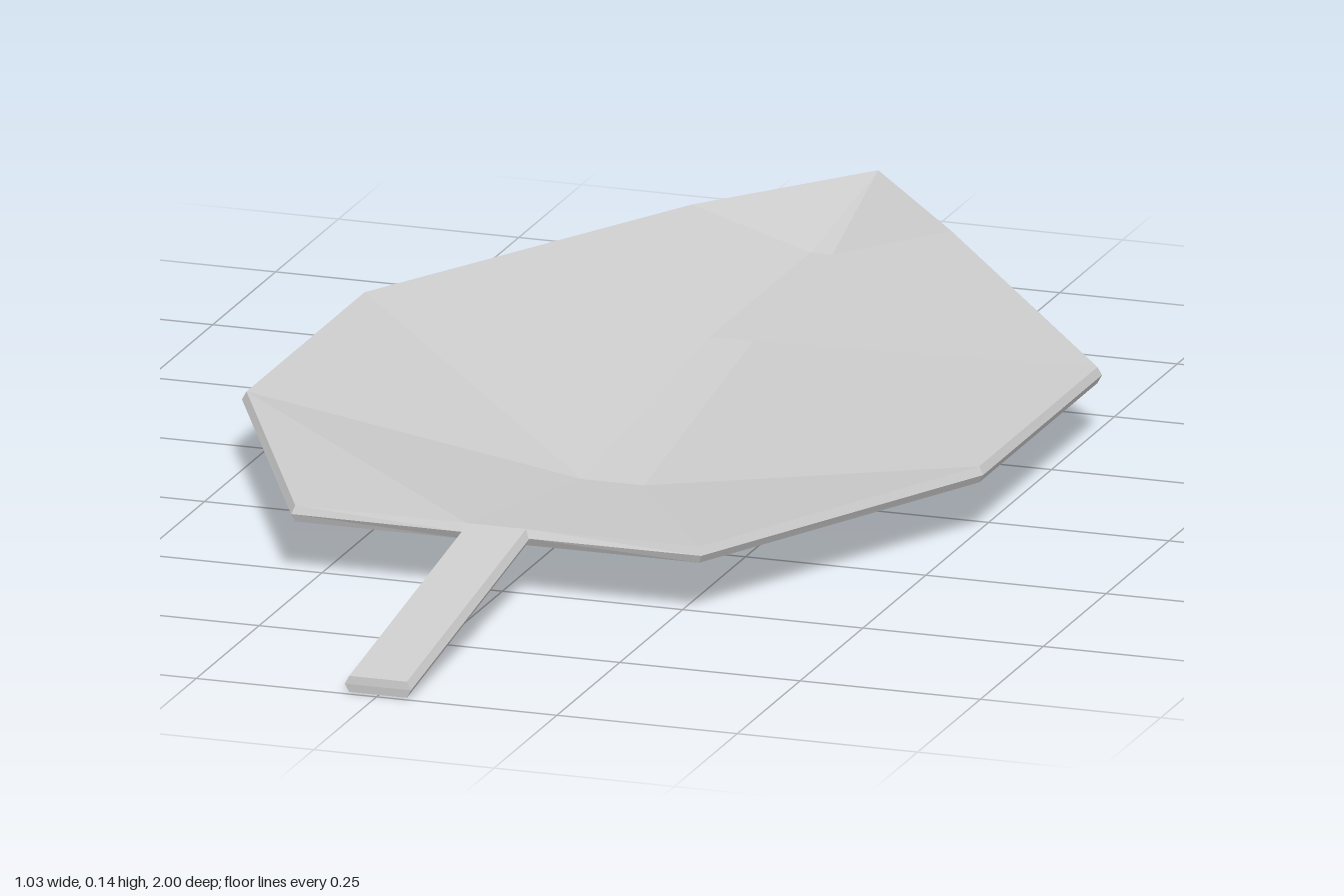
import * as THREE from 'three';

const THICK = 0.022, BEVEL = 0.006;

// Faceted slab from rows of top points (front to back, each from -x to +x),
// with a slightly bulging rim between the top and bottom skins.
function slab(name, rows, material) {
  const pos = [];
  const drop = (p, h) => new THREE.Vector3(p.x, p.y - h, p.z);
  const tri = (a, b, c) => {
    if (a.equals(b) || b.equals(c) || a.equals(c)) return;
    for (const p of [a, b, c]) pos.push(p.x, p.y, p.z);
  };

  // top and bottom skins
  for (let i = 0; i < rows.length - 1; i++) {
    for (let j = 0; j < rows[i].length - 1; j++) {
      const a = rows[i][j], b = rows[i][j + 1], c = rows[i + 1][j + 1], d = rows[i + 1][j];
      for (const [p, q, r] of [[a, b, d], [b, c, d]]) {
        tri(p, q, r);
        tri(drop(r, THICK), drop(q, THICK), drop(p, THICK));
      }
    }
  }

  // outline, counter-clockwise seen from above
  const back = rows[rows.length - 1];
  const loop = [
    ...rows[0],
    ...rows.slice(1, -1).map(r => r[r.length - 1]),
    ...[...back].reverse(),
    ...rows.slice(1, -1).reverse().map(r => r[0]),
  ].filter((p, i, all) => i === 0 || !p.equals(all[i - 1]));
  const n = loop.length;

  // rim with its middle line pushed outwards
  const mid = loop.map((p, i) => {
    const t = loop[(i + 1) % n].clone().sub(loop[(i + n - 1) % n]).setY(0).normalize();
    return new THREE.Vector3(p.x - t.z * BEVEL, p.y - THICK / 2, p.z + t.x * BEVEL);
  });
  for (let i = 0; i < n; i++) {
    const k = (i + 1) % n;
    const low = drop(loop[i], THICK), lowNext = drop(loop[k], THICK);
    tri(loop[i], mid[i], mid[k]);
    tri(loop[i], mid[k], loop[k]);
    tri(mid[i], low, lowNext);
    tri(mid[i], lowNext, mid[k]);
  }

  const geometry = new THREE.BufferGeometry();
  geometry.setAttribute('position', new THREE.Float32BufferAttribute(pos, 3));
  geometry.computeVertexNormals();
  const mesh = new THREE.Mesh(geometry, material);
  mesh.name = name;
  return mesh;
}

export function createModel() {
  const group = new THREE.Group();
  group.name = 'leaf';
  const material = new THREE.MeshStandardMaterial({ color: 0xcccccc, flatShading: true });
  const V = (x, y, z) => new THREE.Vector3(x, y, z);

  // blade stations: z, half width, edge height, midrib half width, midrib height
  const stations = [
    [0.52, 0.28, 0.099, 0.043, 0.099],
    [0.06, 0.508, 0.099, 0.043, 0.026],
    [-0.41, 0.508, 0.099, 0.03, 0.086],
    [-0.77, 0.18, 0.148, 0.015, 0.099],
    [-0.995, 0, 0.148, 0, 0.148],
  ];
  group.add(slab('blade', stations.map(([z, w, y, c, cy]) =>
    [V(-w, y, z), V(-c, cy, z), V(c, cy, z), V(w, y, z)]), material));

  // stem sloping down from the front edge of the blade
  group.add(slab('stem', [[0.994, 0.027], [0.52, 0.099]].map(([z, y]) =>
    [V(-0.04, y, z), V(0.04, y, z)]), material));

  return group;
}
